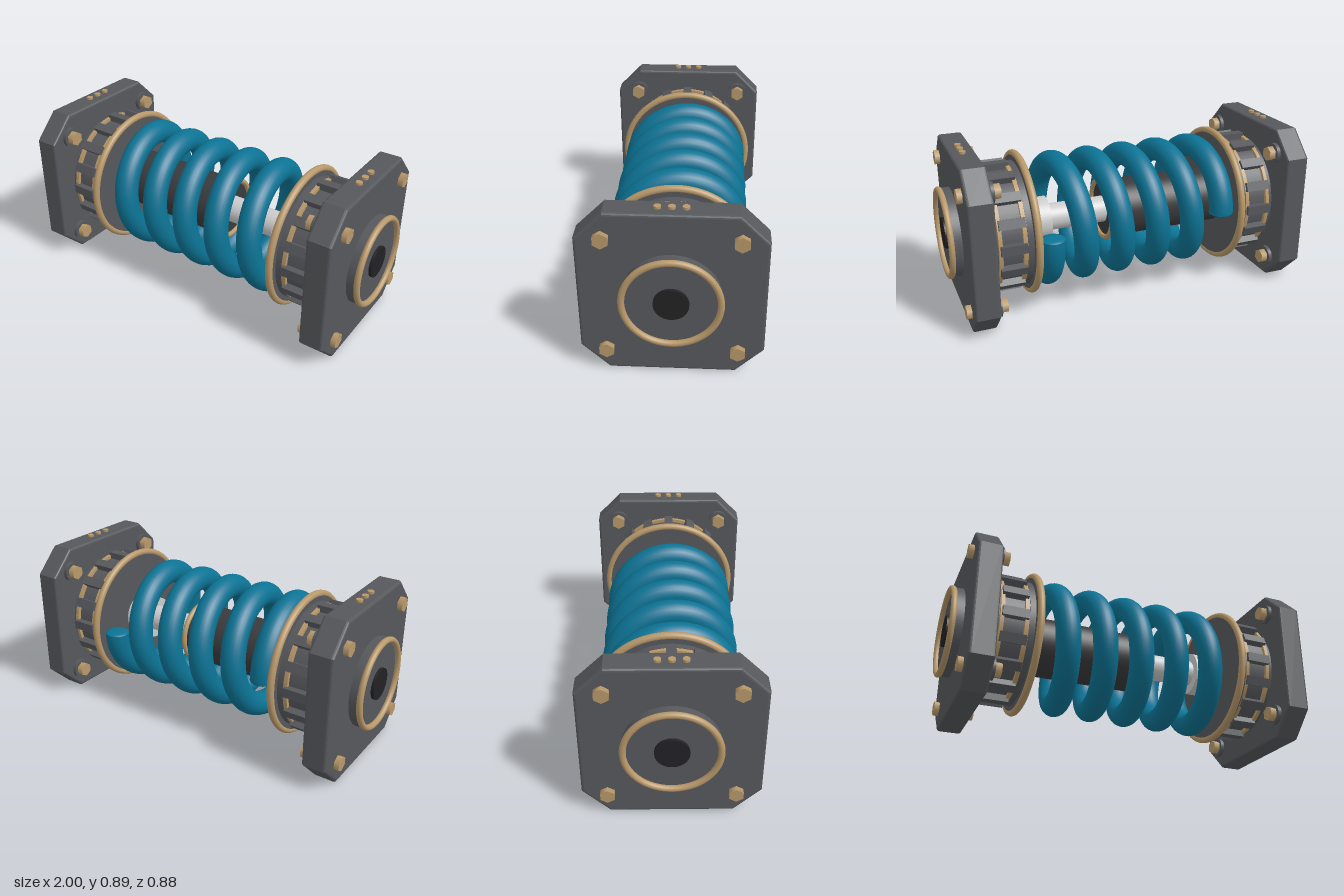
import * as THREE from 'three';

const mat = (color) => new THREE.MeshStandardMaterial({ color });
const steel = mat(0x56585c), dark = mat(0x3a3a3c), black = mat(0x222224);
const brass = mat(0xb8986a), teal = mat(0x0c7394), silver = mat(0xbcbcbc);

function add(parent, name, geometry, material) {
  const mesh = new THREE.Mesh(geometry, material);
  mesh.name = name;
  parent.add(mesh);
  return mesh;
}

// Cylinder lying along x, from x0 to x1
function rod(parent, name, r, x0, x1, material, sides = 64, y = 0, z = 0) {
  const g = new THREE.CylinderGeometry(r, r, x1 - x0, sides);
  if (sides === 6) g.rotateY(Math.PI / 2);
  g.rotateZ(-Math.PI / 2);
  const mesh = add(parent, name, g, material);
  mesh.position.set((x0 + x1) / 2, y, z);
  return mesh;
}

// Ring around the x axis
function ring(parent, name, r, tube, x, material) {
  const mesh = add(parent, name, new THREE.TorusGeometry(r, tube, 16, 80).rotateY(Math.PI / 2), material);
  mesh.position.x = x;
  return mesh;
}

// Octagonal end plate, bevelled all round
function plateGeometry() {
  const bevel = 0.014, h = 0.439 - bevel, c = 0.298;
  const pts = [[h, -c], [h, c], [c, h], [-c, h], [-h, c], [-h, -c], [-c, -h], [c, -h]];
  const shape = new THREE.Shape(pts.map(([x, y]) => new THREE.Vector2(x, y)));
  const g = new THREE.ExtrudeGeometry(shape, {
    depth: 0.13 - 2 * bevel, bevelEnabled: true, bevelSize: bevel, bevelThickness: bevel, bevelSegments: 3,
  });
  return g.rotateY(Math.PI / 2).translate(0.8 + bevel, 0, 0);
}

// Everything at one end, built towards +x
function buildEnd() {
  const end = new THREE.Group();
  add(end, 'endPlate', plateGeometry(), steel);

  // Outer boss
  rod(end, 'boss', 0.235, 0.92, 0.975, steel);
  ring(end, 'bossRing', 0.228, 0.016, 0.984, brass);
  rod(end, 'hubCap', 0.083, 0.97, 0.99, black, 48);

  // Ribbed collar
  rod(end, 'collarCore', 0.315, 0.6, 0.81, steel);
  rod(end, 'collarBandOuter', 0.333, 0.752, 0.772, brass);
  rod(end, 'collarBandInner', 0.333, 0.622, 0.645, brass);
  for (let i = 0; i < 16; i++) {
    const g = new THREE.BoxGeometry(0.135, 0.05, 0.05).translate(0.697, 0.325, 0);
    add(end, 'collarRib', g.rotateX((i / 16) * Math.PI * 2), steel);
  }

  // Spring seat
  rod(end, 'seatBacking', 0.335, 0.59, 0.624, steel);
  rod(end, 'springSeat', 0.368, 0.56, 0.592, steel);
  ring(end, 'seatRing', 0.37, 0.019, 0.575, brass);

  // Corner bolts, with washers on the inner face
  for (const y of [-0.312, 0.312]) for (const z of [-0.312, 0.312]) {
    rod(end, 'boltHead', 0.04, 0.92, 0.957, brass, 6, y, z);
    rod(end, 'washer', 0.055, 0.78, 0.805, steel, 32, y, z);
    rod(end, 'boltNut', 0.04, 0.745, 0.785, brass, 6, y, z);
  }

  // Three studs on the top edge
  for (const z of [-0.064, 0, 0.064]) {
    const stud = add(end, 'topStud', new THREE.CylinderGeometry(0.017, 0.017, 0.03, 24), brass);
    stud.position.set(0.867, 0.436, z);
  }
  return end;
}

// Helix of five turns, its last quarter turns closing up slightly
class SpringCurve extends THREE.Curve {
  getPoint(t, target = new THREE.Vector3()) {
    const u = (t - 0.5) * 5, a = u * Math.PI * 2;
    const k = Math.max(0, Math.abs(u) - 2.25) / 0.25;
    const x = 0.205 * u - Math.sign(u) * 0.026 * k * k;
    return target.set(x, -0.295 * Math.sin(a), 0.295 * Math.cos(a));
  }
}

export function createModel() {
  const model = new THREE.Group();
  model.name = 'springDamper';

  for (const [name, turn] of [['leftEnd', 0], ['rightEnd', Math.PI]]) {
    const end = buildEnd();
    end.name = name;
    end.rotation.y = turn;
    model.add(end);
  }

  // Damper body and piston
  rod(model, 'damperBody', 0.16, -0.57, 0.105, dark);
  ring(model, 'damperLip', 0.16, 0.015, 0.108, brass);
  rod(model, 'pistonRod', 0.073, 0.1, 0.45, silver, 48);
  rod(model, 'pistonBase', 0.118, 0.43, 0.57, silver, 48);

  // Coil spring with closed ends
  add(model, 'coilSpring', new THREE.TubeGeometry(new SpringCurve(), 400, 0.066, 24), teal);
  for (const s of [-1, 1]) {
    const cap = add(model, 'springTip', new THREE.SphereGeometry(0.066, 24, 16), teal);
    cap.scale.y = 0.25;
    cap.position.set(s * 0.485, 0, -0.295);
  }

  model.position.y = 0.439;
  const root = new THREE.Group();
  root.add(model);
  return root;
}
